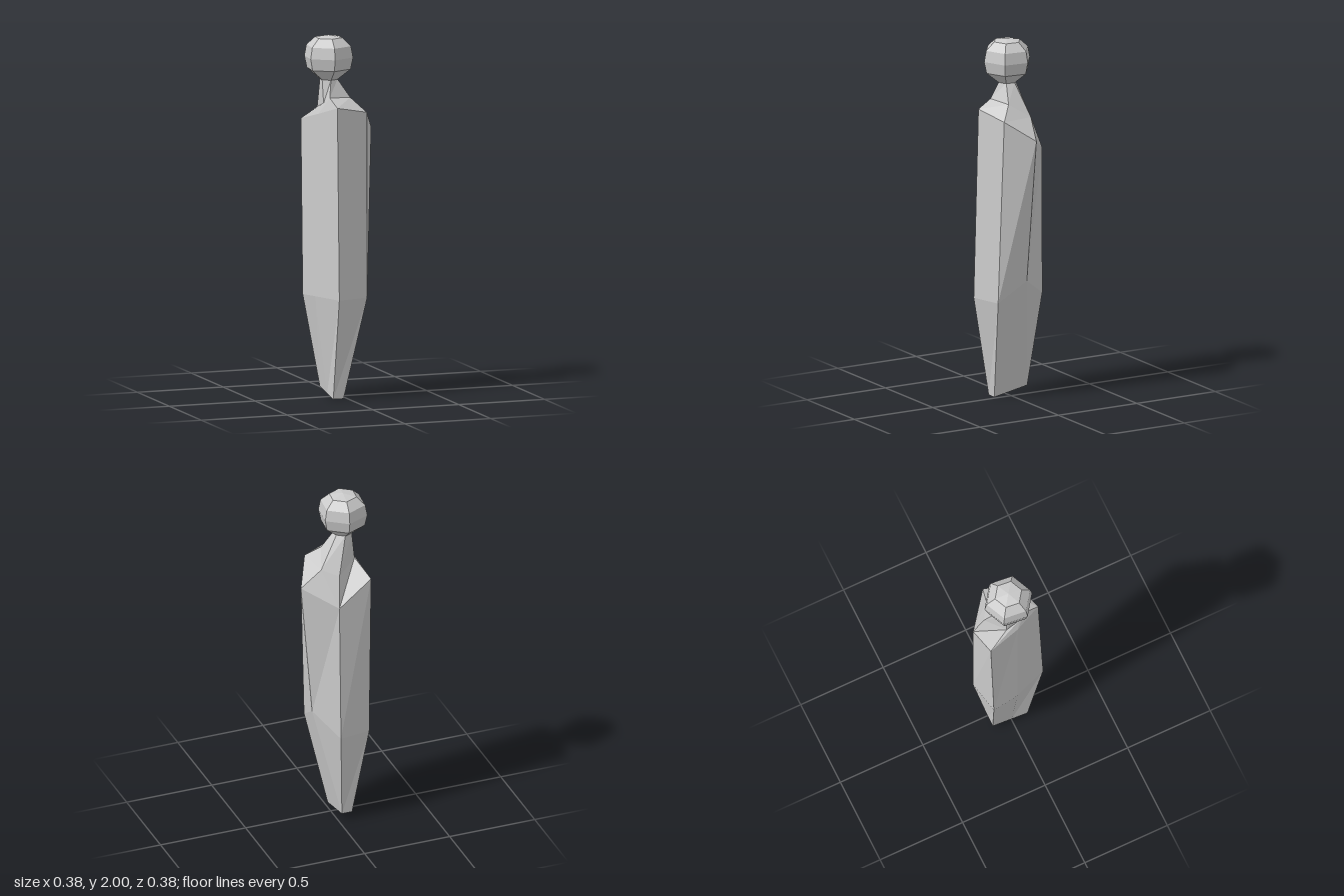
import * as THREE from 'three';

// Skin a stack of six-point loops, lowest first, and close the underside
function skin(loops, flips = []) {
  const pos = [];
  const tri = (a, b, c) => pos.push(...a, ...b, ...c);
  for (let k = 0; k < loops.length - 1; k++) {
    const lo = loops[k], up = loops[k + 1];
    for (let i = 0; i < 6; i++) {
      const j = (i + 1) % 6;
      if (flips.includes(`${k}:${i}`)) {
        tri(lo[i], lo[j], up[i]);
        tri(lo[j], up[j], up[i]);
      } else {
        tri(lo[i], lo[j], up[j]);
        tri(lo[i], up[j], up[i]);
      }
    }
  }
  const base = loops[0];
  for (let i = 1; i < 5; i++) tri(base[0], base[i + 1], base[i]);
  const geo = new THREE.BufferGeometry();
  geo.setAttribute('position', new THREE.Float32BufferAttribute(pos, 3));
  geo.computeVertexNormals();
  return geo;
}

export function createModel() {
  const group = new THREE.Group();
  const material = new THREE.MeshStandardMaterial({ color: 0xcccccc, flatShading: true });
  const add = (name, geo) => {
    const mesh = new THREE.Mesh(geo, material);
    mesh.name = name;
    group.add(mesh);
    return mesh;
  };

  const cx = -0.066, cz = -0.014, turn = -0.1;

  // Uneven loops, each starting at the front left of the view and going round by +x
  const tip = [[-0.08, 0, 0.095], [-0.02, 0, 0.095], [-0.02, 0.04, -0.115],
    [-0.02, 0.04, -0.115], [-0.08, 0.04, -0.115], [-0.08, 0.02, 0]];
  const hip = [[-0.08, 0.56, 0.19], [0.1, 0.56, 0.143], [0.12, 0.67, -0.028],
    [0.015, 0.56, -0.19], [-0.167, 0.55, -0.15], [-0.15, 0.56, 0]];
  const shoulder = [[-0.08, 1.62, 0.16], [0.11, 1.58, 0.11], [0.193, 1.47, -0.045],
    [0.022, 1.38, -0.185], [-0.17, 1.52, -0.17], [-0.135, 1.57, 0.01]];
  const collar = [[-0.093, 1.665, 0.075], [0.04, 1.655, 0.04], [0.085, 1.58, -0.075],
    [0, 1.55, -0.13], [-0.12, 1.6, -0.05], [-0.112, 1.63, 0.03]];
  const neck = Array.from({ length: 6 }, (_, i) => {
    const a = turn + i * Math.PI / 3;
    return [cx + 0.05 * Math.sin(a), 1.757, cz + 0.05 * Math.cos(a)];
  });
  add('body', skin([tip, hip, shoulder, collar, neck], ['2:2']));

  // Six-sided ball head
  const profile = [[0, 1.755], [0.05, 1.755], [0.124, 1.815], [0.138, 1.88],
    [0.126, 1.942], [0.077, 1.987], [0, 2]].map(([r, y]) => new THREE.Vector2(r, y));
  const head = add('head', new THREE.LatheGeometry(profile, 6, turn));
  head.position.set(cx, 0, cz);

  return group;
}
